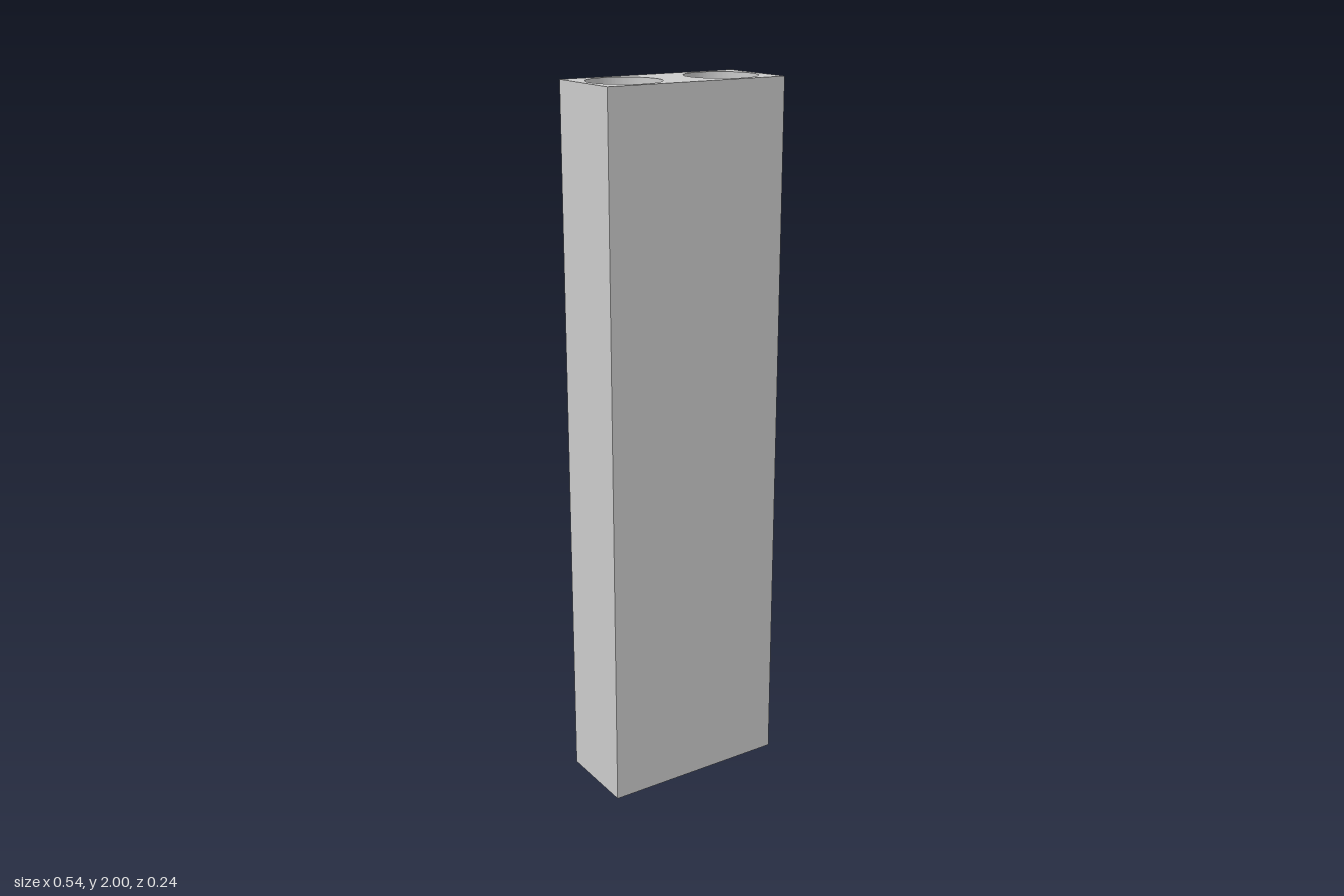
import * as THREE from 'three';
import { toCreasedNormals } from 'three/addons/utils/BufferGeometryUtils.js';

const HALF_W = 0.27, HALF_D = 0.12, HEIGHT = 2;
const BORE_X = 0.15, BORE_R = 0.1;

export function createModel() {
  const group = new THREE.Group();
  group.name = 'twinBoreBlock';

  // Rectangular cross-section
  const section = new THREE.Shape([
    new THREE.Vector2(-HALF_W, -HALF_D),
    new THREE.Vector2(HALF_W, -HALF_D),
    new THREE.Vector2(HALF_W, HALF_D),
    new THREE.Vector2(-HALF_W, HALF_D),
  ]);

  // Two round bores running the full height
  for (const side of [-1, 1]) {
    const bore = new THREE.Path();
    bore.absarc(side * BORE_X, 0, BORE_R, 0, Math.PI * 2, true);
    section.holes.push(bore);
  }

  // Extrude upwards; smooth bore walls, sharp block edges
  const extruded = new THREE.ExtrudeGeometry(section, {
    depth: HEIGHT,
    bevelEnabled: false,
    curveSegments: 64,
  });
  extruded.rotateX(-Math.PI / 2);

  const block = new THREE.Mesh(
    toCreasedNormals(extruded, Math.PI / 6),
    new THREE.MeshStandardMaterial({ color: 0xcccccc })
  );
  block.name = 'block';
  group.add(block);

  return group;
}
